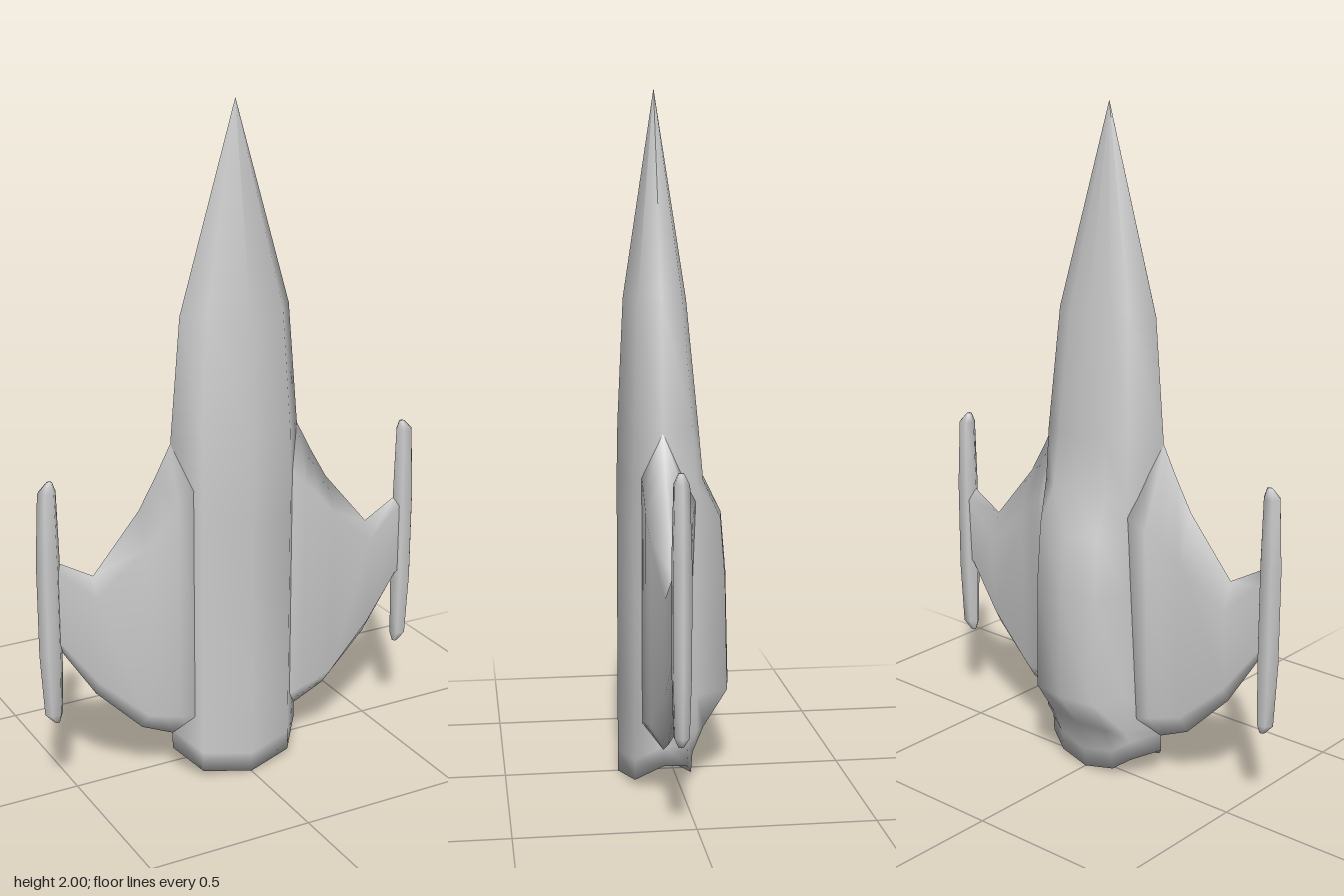
import * as THREE from 'three';

const material = new THREE.MeshStandardMaterial({ color: 0xcccccc });

// Smooth skin over a list of equal-length rings of [x, y, z], closed at both ends
function loft(name, rings) {
  const n = rings[0].length;
  const points = rings.flat();
  const index = [];
  for (let r = 0; r < rings.length - 1; r++) {
    for (let i = 0; i < n; i++) {
      const a = r * n + i, b = r * n + (i + 1) % n;
      index.push(a, b, a + n, b, b + n, a + n);
    }
  }
  // End caps as fans around the middle of the first and last ring
  for (const r of [0, rings.length - 1]) {
    const c = points.length;
    points.push([0, 1, 2].map(k => rings[r].reduce((s, p) => s + p[k], 0) / n));
    for (let i = 0; i < n; i++) {
      const a = r * n + i, b = r * n + (i + 1) % n;
      if (r === 0) index.push(b, a, c);
      else index.push(a, b, c);
    }
  }
  // Turn the faces outward, whichever way the rings run
  const v = points.map(p => new THREE.Vector3(...p));
  let volume = 0;
  for (let i = 0; i < index.length; i += 3) {
    volume += v[index[i]].dot(v[index[i + 1]].clone().cross(v[index[i + 2]]));
  }
  if (volume < 0) index.reverse();
  const geometry = new THREE.BufferGeometry().setFromPoints(v);
  geometry.setIndex(index);
  geometry.computeVertexNormals();
  const mesh = new THREE.Mesh(geometry, material);
  mesh.name = name;
  return mesh;
}

// Ten-sided hull section: half width, front z, back z and half width of the back;
// drop holds the height offsets of the six points from front to back
function hullRing(y, w, front, back, backWidth, drop = [0, 0, 0, 0, 0, 0]) {
  const mid = 0.055;
  const half = [
    [0, front],
    [w * 0.69, mid + (front - mid) * 0.68],
    [w, mid],
    [w * 0.74, Math.max(mid + (back - mid) * 0.72, -0.05)],
    [backWidth, back + (mid - back) * 0.09],
    [0, back],
  ].map(([x, z], i) => [x, y + drop[i], z]);
  return [...half, ...half.slice(1, 5).reverse().map(([x, yy, z]) => [-x, yy, z])];
}

// Six-sided wing section at x, from trailing edge y0 to leading edge y1
function wingRing(x, y0, y1, front, back, lowBevel, highBevel) {
  const mid = 0.055;
  return [
    [x, y1, mid],
    [x, y1 - highBevel, front],
    [x, y0 + lowBevel, front],
    [x, y0, mid],
    [x, y0 + lowBevel, back * 0.75 + mid * 0.25],
    [x, y1 - highBevel * 1.4, back],
  ];
}

// Hexagonal pod section between an inner and an outer x
function podRing(y, inner, outer, depth) {
  const mid = 0.055, w = outer - inner;
  return [
    [inner, y, mid],
    [inner + w * 0.25, y, mid + depth],
    [inner + w * 0.75, y, mid + depth],
    [outer, y, mid],
    [inner + w * 0.75, y, mid - depth],
    [inner + w * 0.25, y, mid - depth],
  ];
}

export function createModel() {
  const group = new THREE.Group();
  group.name = 'spacecraft';

  // Hull with rounded tail, raised back and pointed nose
  const tail = [0, 0.02, 0.08, 0.06, 0.02, 0];
  group.add(loft('hull', [
    hullRing(0, 0.21, 0.165, -0.05, 0.1, tail),
    hullRing(0.06, 0.21, 0.165, -0.055, 0.1, tail),
    hullRing(0.16, 0.21, 0.165, -0.09, 0.105),
    hullRing(0.27, 0.21, 0.165, -0.165, 0.11),
    hullRing(0.6, 0.21, 0.165, -0.157, 0.112),
    hullRing(0.78, 0.21, 0.165, -0.142, 0.11),
    hullRing(0.89, 0.21, 0.165, -0.088, 0.1),
    hullRing(1.05, 0.207, 0.162, -0.073, 0.09),
    hullRing(1.41, 0.175, 0.145, -0.036, 0.075),
    hullRing(2, 0, 0.055, 0.055, 0),
  ]));

  // Wings and wingtip pods, mirrored
  for (const [side, s] of [['left', 1], ['right', -1]]) {
    const mirror = rings => rings.map(r => r.map(([x, y, z]) => [s * x, y, z]));
    group.add(loft(side + 'Wing', mirror([
      wingRing(0.14, 0.11, 1.13, 0.11, -0.05, 0.08, 0.2),
      wingRing(0.21, 0.13, 1.04, 0.11, -0.03, 0.08, 0.17),
      wingRing(0.255, 0.15, 0.955, 0.11, -0.01, 0.07, 0.13),
      wingRing(0.31, 0.175, 0.86, 0.104, 0.004, 0.06, 0.1),
      wingRing(0.455, 0.32, 0.69, 0.082, 0.023, 0.045, 0.06),
      wingRing(0.56, 0.48, 0.75, 0.073, 0.036, 0.025, 0.03),
      wingRing(0.59, 0.49, 0.76, 0.073, 0.036, 0.025, 0.03),
    ])));
    group.add(loft(side + 'Pod', mirror([
      podRing(0.26, 0.57, 0.587, 0.007),
      podRing(0.29, 0.56, 0.615, 0.02),
      podRing(0.48, 0.555, 0.626, 0.025),
      podRing(0.76, 0.555, 0.626, 0.025),
      podRing(0.965, 0.56, 0.615, 0.02),
      podRing(0.993, 0.57, 0.587, 0.007),
    ])));
  }
  return group;
}
